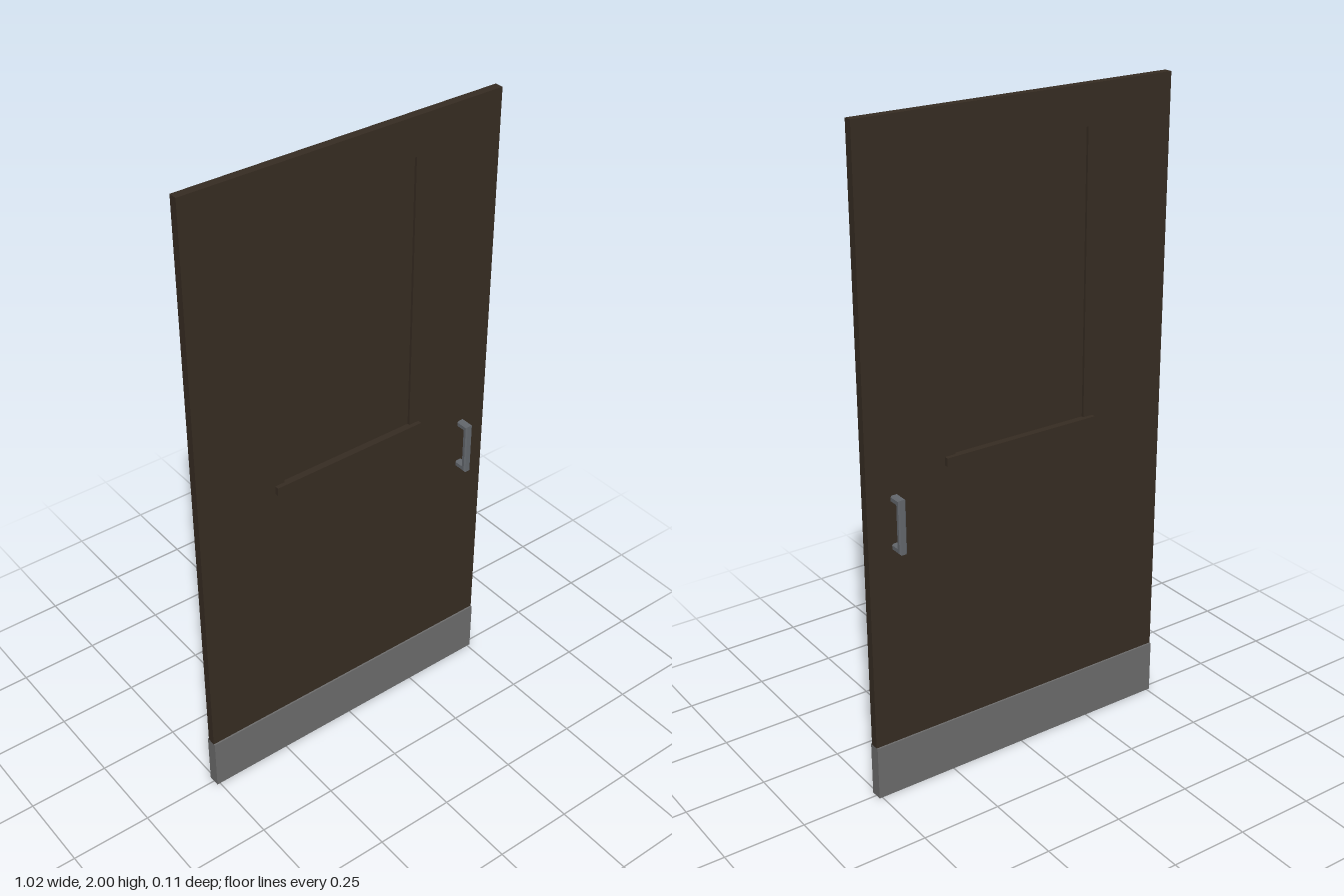
import * as THREE from 'three';

const wood = new THREE.MeshStandardMaterial({ name: 'darkWood', color: 0x362c22 });
const steel = new THREE.MeshStandardMaterial({ name: 'greySteel', color: 0x6c6c6c });
const handleMetal = new THREE.MeshStandardMaterial({ name: 'handleMetal', color: 0x63676c });

function rect(target, x0, y0, x1, y1) {
  target.moveTo(x0, y0);
  target.lineTo(x1, y0);
  target.lineTo(x1, y1);
  target.lineTo(x0, y1);
  target.closePath();
  return target;
}

function addMesh(group, name, geometry, material, x = 0, y = 0, z = 0) {
  const mesh = new THREE.Mesh(geometry, material);
  mesh.name = name;
  mesh.position.set(x, y, z);
  group.add(mesh);
  return mesh;
}

export function createModel() {
  const door = new THREE.Group();
  door.name = 'door';
  const halfWidth = 0.51, thickness = 0.026, kickTop = 0.172;

  // Door slab with the window opening cut through it
  const slab = rect(new THREE.Shape(), -halfWidth, kickTop, halfWidth, 2);
  slab.holes.push(rect(new THREE.Path(), -0.224, 1.03, 0.222, 1.884));
  addMesh(door, 'slab', new THREE.ExtrudeGeometry(slab, { depth: thickness, bevelEnabled: false }),
    wood, 0, 0, -thickness / 2);

  // Recessed panel filling the opening
  addMesh(door, 'windowPanel', new THREE.BoxGeometry(0.446, 0.854, 0.01), wood, -0.001, 1.457, 0);

  // Ledge below the window, standing out on both faces
  addMesh(door, 'windowLedge', new THREE.BoxGeometry(0.512, 0.026, 0.052), wood, 0, 1.018, 0);

  // Kick plate wrapping the foot of the door
  addMesh(door, 'kickPlate', new THREE.BoxGeometry(halfWidth * 2, kickTop, 0.037), steel, 0, kickTop / 2, 0);

  // Pull handle: one chamfered loop passing through the slab
  const bevel = 0.004, width = 0.024;
  const loop = rect(new THREE.Shape(), -0.055 + bevel, 0.795 + bevel, 0.055 - bevel, 0.962 - bevel);
  loop.holes.push(rect(new THREE.Path(), -0.038 - bevel, 0.815 - bevel, 0.038 + bevel, 0.942 + bevel));
  const loopGeometry = new THREE.ExtrudeGeometry(loop, {
    depth: width - 2 * bevel, bevelThickness: bevel, bevelSize: bevel, bevelSegments: 1,
  });
  loopGeometry.translate(0, 0, -(width - 2 * bevel) / 2);
  loopGeometry.rotateY(Math.PI / 2);
  addMesh(door, 'pullHandle', loopGeometry, handleMetal, 0.422, 0, 0);

  return door;
}
